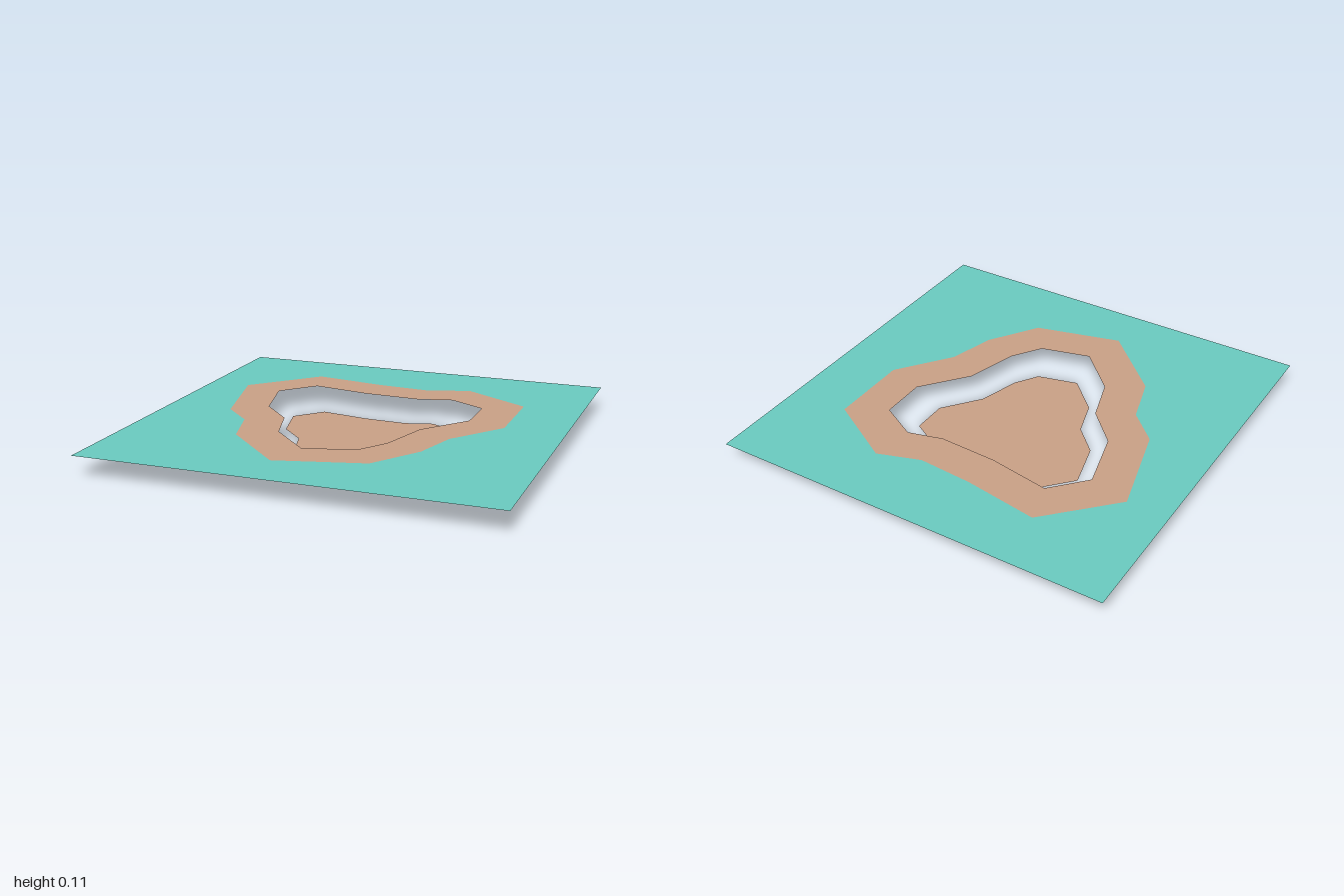
import * as THREE from 'three';

// Shoreline rings as [x, z] pairs
const SHORE = [[-0.49, -0.70], [-0.12, -0.64], [0.15, -0.62], [0.36, -0.69], [0.70, -0.49], [0.70, -0.09], [0.505, 0.17],
  [0.44, 0.40], [0.28, 0.64], [-0.145, 0.75], [-0.455, 0.45], [-0.525, 0.21], [-0.67, 0.07], [-0.79, -0.39]];
const RIM = [[-0.433, -0.50], [-0.13, -0.447], [0.16, -0.434], [0.33, -0.48], [0.51, -0.38], [0.51, -0.153], [0.33, 0.072],
  [0.257, 0.33], [0.16, 0.474], [-0.086, 0.538], [-0.284, 0.34], [-0.353, 0.117], [-0.51, -0.046], [-0.584, -0.335]];
const FLOOR = [[-0.348, -0.394], [-0.107, -0.351], [0.118, -0.34], [0.257, -0.38], [0.40, -0.297], [0.40, -0.12], [0.257, 0.062],
  [0.198, 0.265], [0.123, 0.38], [-0.078, 0.431], [-0.236, 0.273], [-0.289, 0.094], [-0.412, -0.03], [-0.471, -0.26]];
const SQUARE = [[-1, -1], [1, -1], [1, 1], [-1, 1]];
const RIM_HEIGHT = 0.106;

const toPoints = (ring) => ring.map(([x, z]) => new THREE.Vector2(x, -z));

// Flat horizontal sheet with an optional hole
function sheet(name, material, outline, hole, y) {
  const shape = new THREE.Shape(toPoints(outline));
  if (hole) shape.holes.push(new THREE.Path(toPoints(hole)));
  const mesh = new THREE.Mesh(new THREE.ShapeGeometry(shape).rotateX(-Math.PI / 2), material);
  mesh.name = name;
  mesh.position.y = y;
  return mesh;
}

export function createModel() {
  const water = new THREE.MeshStandardMaterial({ color: 0x6acabf, side: THREE.DoubleSide });
  water.name = 'turquoise';
  const sand = new THREE.MeshStandardMaterial({ color: 0xc9a086, side: THREE.DoubleSide });
  sand.name = 'sand';

  const group = new THREE.Group();
  group.name = 'groundTile';
  group.add(
    sheet('surroundingGround', water, SQUARE, SHORE, RIM_HEIGHT),
    sheet('sandyBank', sand, SHORE, RIM, RIM_HEIGHT),
    sheet('sunkenFloor', sand, FLOOR, null, 0), // open gap between bank and floor
  );
  return group;
}
